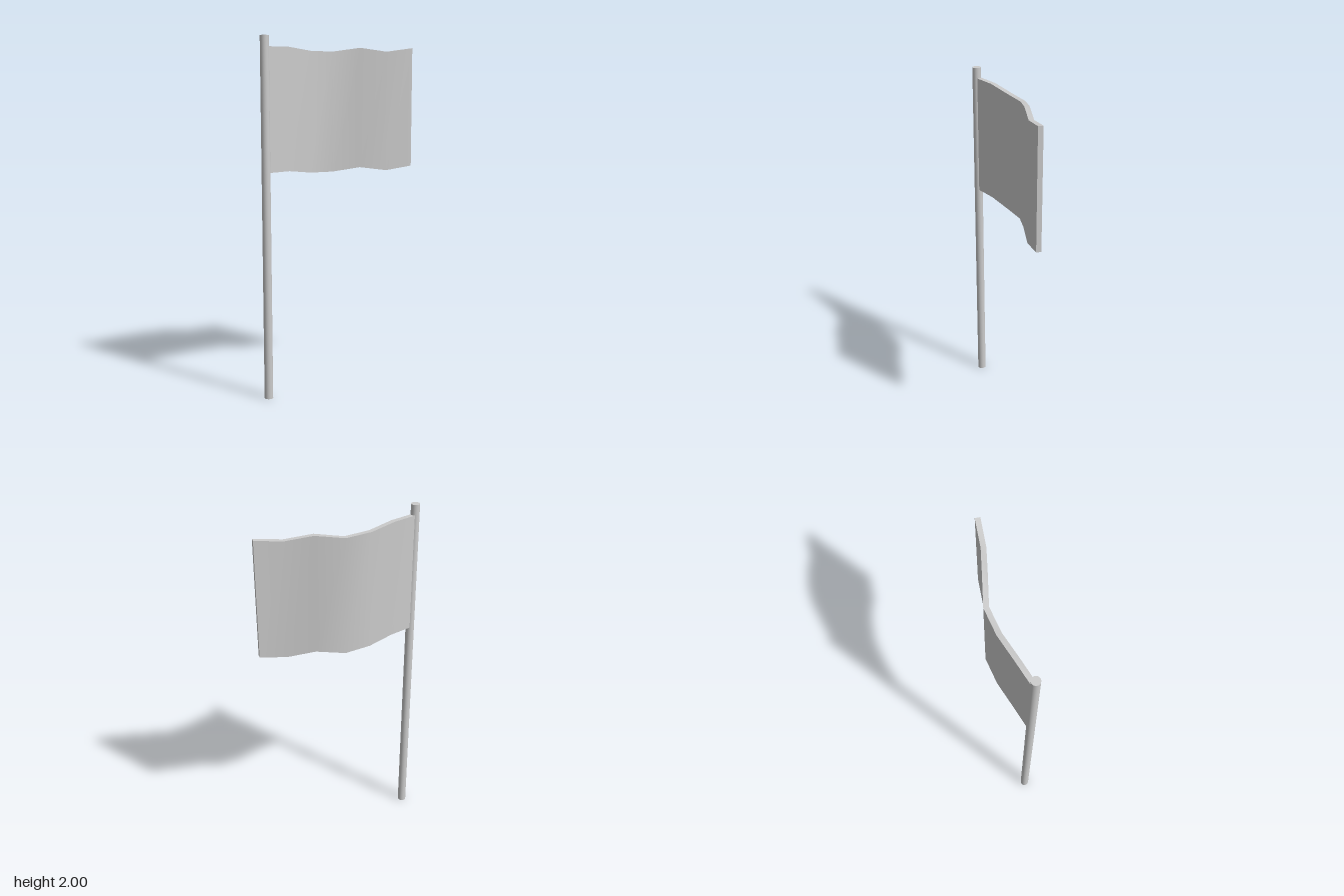
import * as THREE from 'three';

const material = new THREE.MeshStandardMaterial({ color: 0xcccccc });

// Centre line of the cloth: x, z and the sag of each fold
const folds = [
  [-0.435, -0.013, 0],
  [-0.29, -0.039, 0],
  [-0.14, -0.064, 0.019],
  [0.01, -0.069, 0.022],
  [0.16, -0.015, 0],
  [0.306, 0.036, 0.021],
  [0.459, 0.066, 0],
];
const clothTop = 1.942;
const clothHeight = 0.672;
const clothThickness = 0.028;

function flagGeometry() {
  const last = folds.length - 1;
  const geometry = new THREE.BoxGeometry(1, 1, 1, last, 1, 1);
  const position = geometry.attributes.position;
  for (let v = 0; v < position.count; v++) {
    const i = Math.round((position.getX(v) + 0.5) * last);
    const [x, z, sag] = folds[i];
    // Offset both faces across the local direction of the cloth
    const before = folds[Math.max(i - 1, 0)];
    const after = folds[Math.min(i + 1, last)];
    const across = new THREE.Vector2(before[1] - after[1], after[0] - before[0]).normalize();
    const offset = position.getZ(v) * clothThickness;
    const y = clothTop - sag + (position.getY(v) - 0.5) * clothHeight;
    position.setXYZ(v, x + across.x * offset, y, z + across.y * offset);
  }
  geometry.computeVertexNormals();
  return geometry;
}

export function createModel() {
  const group = new THREE.Group();
  group.name = 'flagOnPole';

  // Upright pole
  const pole = new THREE.Mesh(new THREE.CylinderGeometry(0.024, 0.024, 2, 24), material);
  pole.name = 'pole';
  pole.position.set(-0.44, 1, -0.009);

  // Waving cloth
  const flag = new THREE.Mesh(flagGeometry(), material);
  flag.name = 'flag';

  group.add(pole, flag);
  return group;
}
